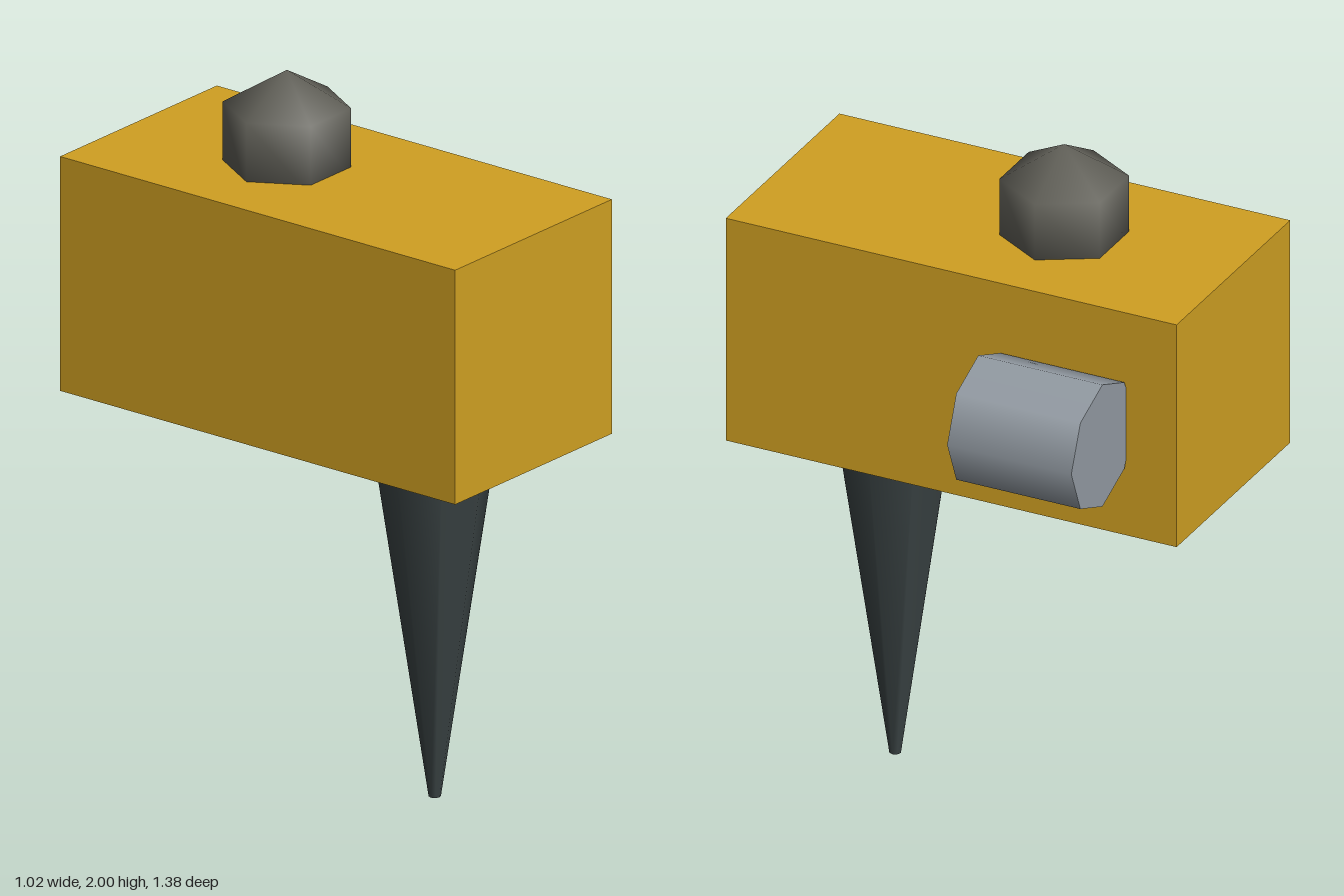
import * as THREE from 'three';

const material = (name, color) => {
  const m = new THREE.MeshStandardMaterial({ color });
  m.name = name;
  return m;
};

export function createModel() {
  const model = new THREE.Group();
  model.name = 'model';

  const add = (name, geometry, mat, x, y, z) => {
    const mesh = new THREE.Mesh(geometry, mat);
    mesh.name = name;
    mesh.position.set(x, y, z);
    model.add(mesh);
    return mesh;
  };

  // Main block
  add('body', new THREE.BoxGeometry(0.686, 0.686, 1.38),
    material('ochre', 0xd0a022), -0.167, 1.383, 0);

  // Tapered spike under the front half
  add('spike', new THREE.CylinderGeometry(0.172, 0.017, 1.04, 8),
    material('dark slate', 0x3b4445), -0.167, 0.52, 0.345);

  // Faceted knob sunk into the top
  add('knob', new THREE.SphereGeometry(0.205, 6, 3),
    material('warm grey', 0x63625a), -0.165, 1.795, -0.173);

  // Eight-sided drum on the left side, lying along z
  add('sideDrum', new THREE.CylinderGeometry(0.188, 0.188, 0.38, 8),
    material('steel grey', 0x949ca4), 0.318, 1.383, -0.345).rotation.x = Math.PI / 2;

  return model;
}
